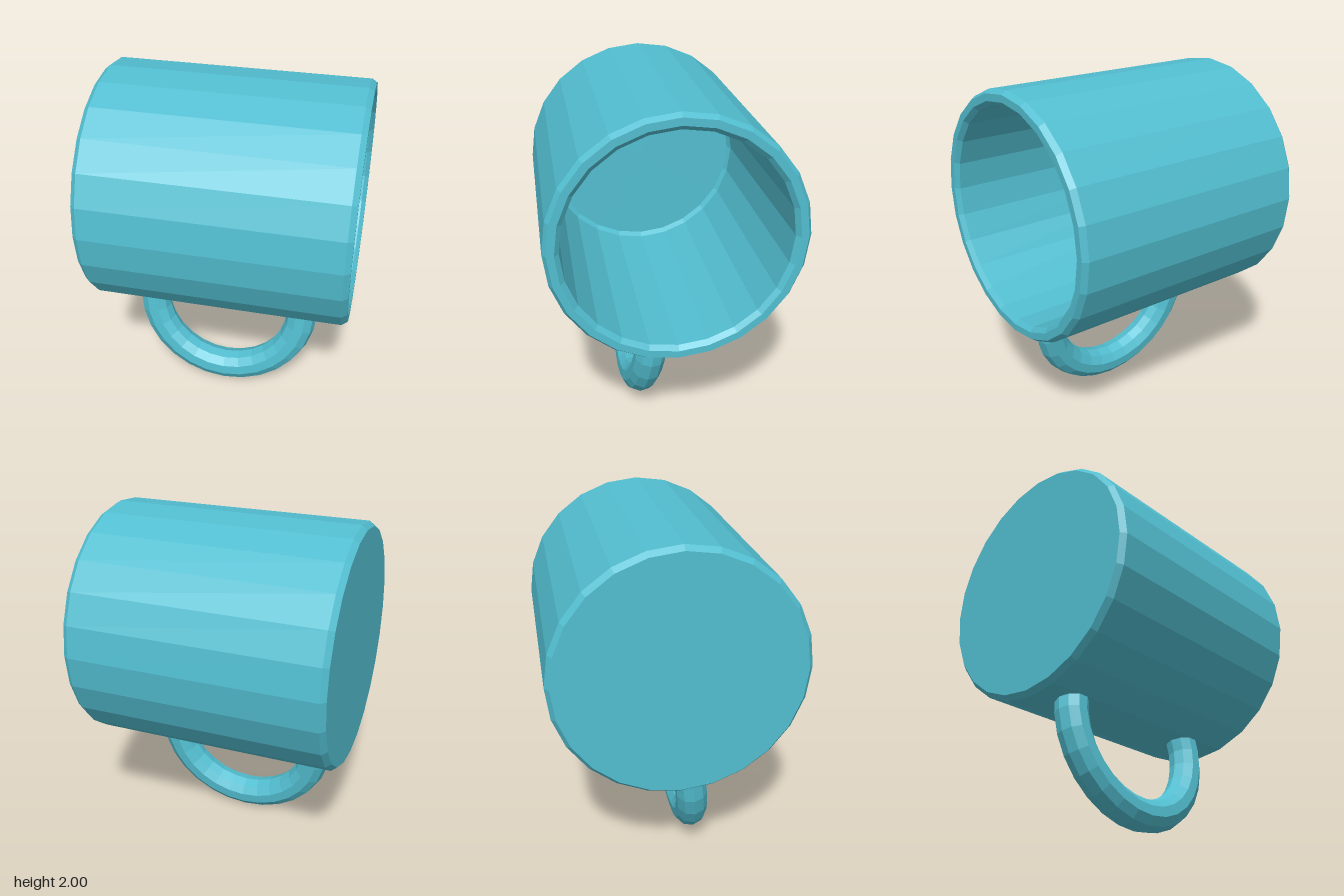
import * as THREE from 'three';

export function createModel() {
  const group = new THREE.Group();
  group.name = 'mug';

  const teal = new THREE.MeshStandardMaterial({ color: 0x52bed0, flatShading: true });
  teal.name = 'teal';

  // Hollow cup lying on its side: closed base at -x, open rim at +x
  const profile = [
    [0, -0.73], [0.665, -0.73], [0.69, -0.7],
    [0.69, 0.695], [0.67, 0.725], [0.63, 0.725], [0.605, 0.7],
    [0.6, -0.6], [0.58, -0.63], [0, -0.63],
  ].map(([r, h]) => new THREE.Vector2(r, h));
  const cupGeometry = new THREE.LatheGeometry(profile, 24);
  cupGeometry.rotateZ(-Math.PI / 2);
  const cup = new THREE.Mesh(cupGeometry, teal);
  cup.name = 'cup';
  cup.position.y = 1.31;
  group.add(cup);

  // Half-ring handle, tilted slightly forward, its ends sunk into the wall
  const overlap = 0.24;
  const handleGeometry = new THREE.TorusGeometry(0.465, 0.092, 10, 16, Math.PI + 2 * overlap);
  handleGeometry.rotateZ(Math.PI - overlap);
  handleGeometry.rotateX(-0.127);
  const handle = new THREE.Mesh(handleGeometry, teal);
  handle.name = 'handle';
  handle.position.set(-0.03, 0.555, 0.1);
  group.add(handle);

  return group;
}
